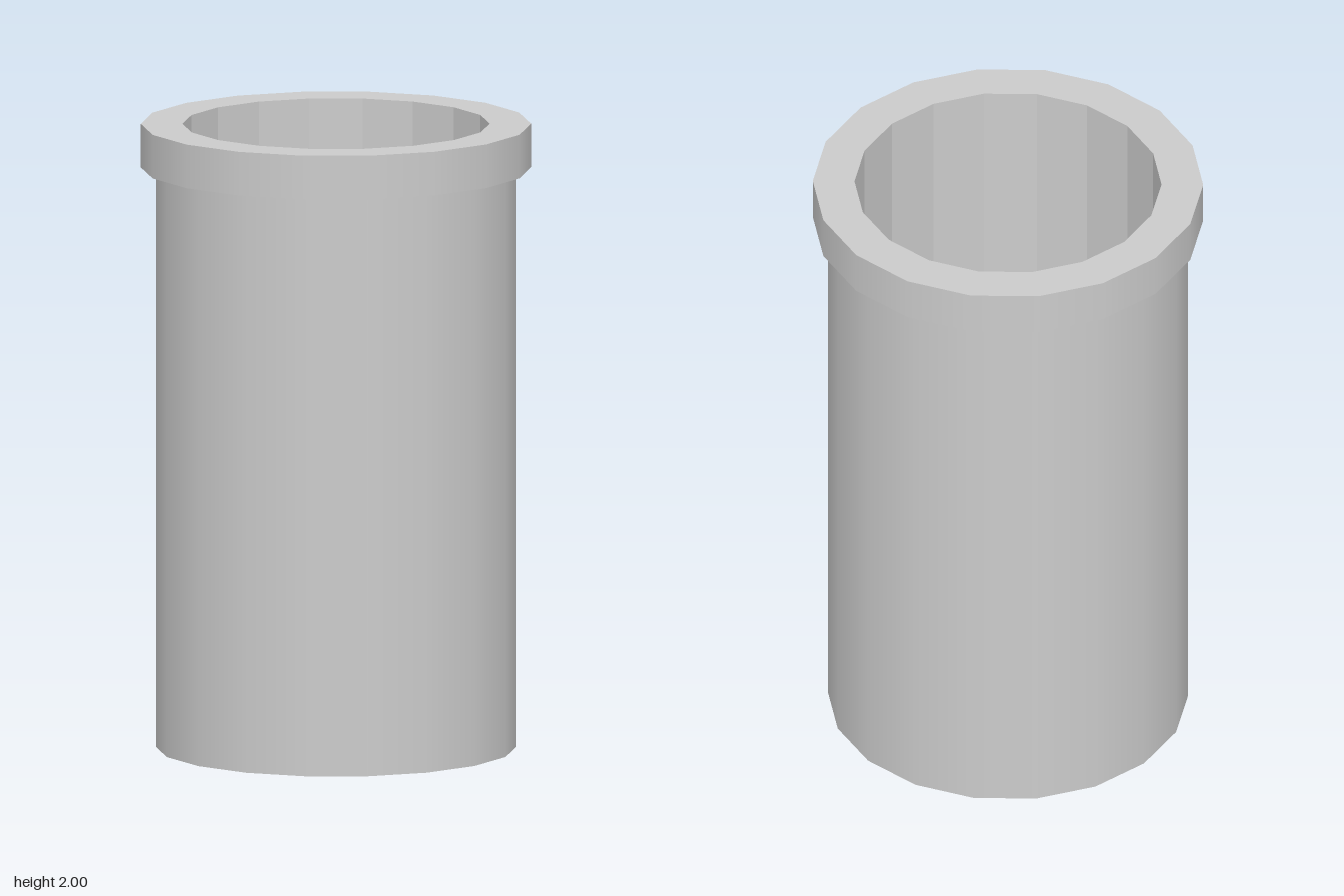
import * as THREE from 'three';

const SIDES = 18;
const BODY = 0.57, COLLAR = 0.618, BORE = 0.486;
const TOP = 2, COLLAR_BASE = 1.86, FLOOR = 0.1;

export function createModel() {
  const model = new THREE.Group();
  model.name = 'cup';
  const smooth = new THREE.MeshStandardMaterial({ color: 0xcccccc });
  const faceted = new THREE.MeshStandardMaterial({ color: 0xcccccc, flatShading: true });

  // Each band is turned separately, so its edges stay sharp; a corner lies on the x axis.
  function band(parent, name, r0, y0, r1, y1, material) {
    const profile = [new THREE.Vector2(r0, y0), new THREE.Vector2(r1, y1)];
    const mesh = new THREE.Mesh(new THREE.LatheGeometry(profile, SIDES, Math.PI / 2), material);
    mesh.name = name;
    parent.add(mesh);
  }

  // Straight body with a closed base
  const body = new THREE.Group();
  body.name = 'body';
  band(body, 'base', 0, 0, BODY, 0, faceted);
  band(body, 'bodyWall', BODY, 0, BODY, COLLAR_BASE, smooth);

  // Raised collar around the mouth
  const collar = new THREE.Group();
  collar.name = 'collar';
  band(collar, 'collarUnderside', BODY, COLLAR_BASE, COLLAR, COLLAR_BASE, faceted);
  band(collar, 'collarWall', COLLAR, COLLAR_BASE, COLLAR, TOP, smooth);
  band(collar, 'rim', COLLAR, TOP, BORE, TOP, faceted);

  // Faceted hollow inside
  const hollow = new THREE.Group();
  hollow.name = 'hollow';
  band(hollow, 'innerWall', BORE, TOP, BORE, FLOOR, faceted);
  band(hollow, 'innerFloor', BORE, FLOOR, 0, FLOOR, faceted);

  model.add(body, collar, hollow);
  return model;
}
